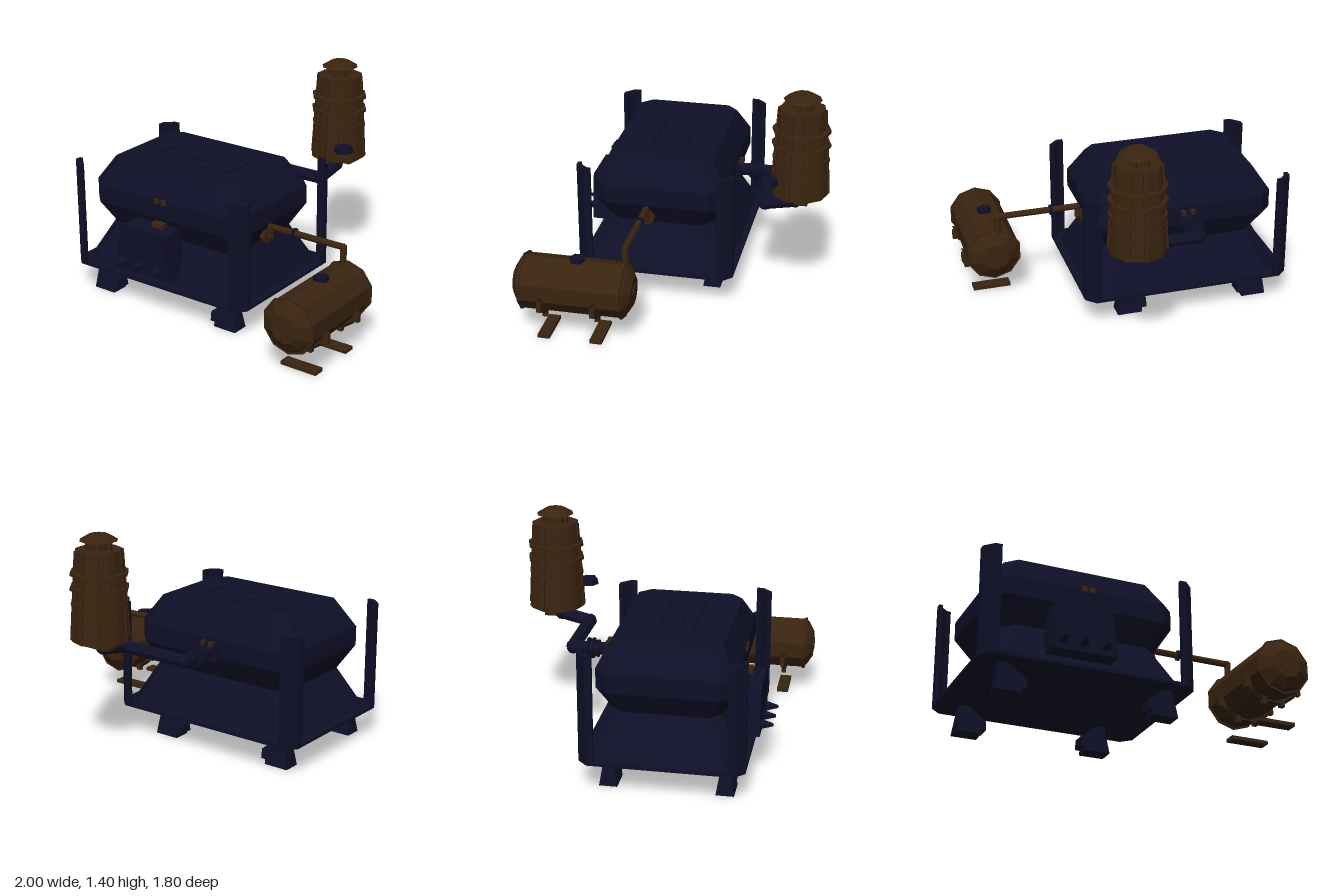
import * as THREE from 'three';

export function createModel() {
  const root = new THREE.Group();
  const navy = new THREE.MeshStandardMaterial({ color: 0x0f0f28 });
  navy.name = 'dark navy iron';
  const brown = new THREE.MeshStandardMaterial({ color: 0x3a2410 });
  brown.name = 'dark bronze';

  // faceted mesh helper
  function add(name, geo, mat, x = 0, y = 0, z = 0, parent = root) {
    const g = geo.index ? geo.toNonIndexed() : geo;
    g.computeVertexNormals();
    const m = new THREE.Mesh(g, mat);
    m.name = name;
    m.position.set(x, y, z);
    parent.add(m);
    return m;
  }
  const box = (name, mat, w, h, d, x, y, z, parent) =>
    add(name, new THREE.BoxGeometry(w, h, d), mat, x, y, z, parent);
  const cyl = (name, mat, r1, r2, h, n, x, y, z, parent) =>
    add(name, new THREE.CylinderGeometry(r1, r2, h, n), mat, x, y, z, parent);
  const lathe = (pts, n) => new THREE.LatheGeometry(pts.map(p => new THREE.Vector2(...p)), n);

  // stack of chamfered rectangles, each [y, halfX, halfZ, chamfer]
  function loft(rings) {
    const pos = [], idx = [], n = 8;
    for (const [y, a, b, c] of rings) {
      const ring = [[a, c - b], [a, b - c], [a - c, b], [c - a, b], [-a, b - c], [-a, c - b], [c - a, -b], [a - c, -b]];
      for (const [x, z] of ring) pos.push(x, y, z);
    }
    const last = (rings.length - 1) * n;
    const low = pos.length / 3, high = low + 1;
    pos.push(0, rings[0][0], 0, 0, rings[rings.length - 1][0], 0);
    for (let i = 0; i < n; i++) {
      const j = (i + 1) % n;
      for (let k = 0; k < last; k += n) idx.push(k + i, k + n + i, k + j, k + j, k + n + i, k + n + j);
      idx.push(low, i, j, high, last + j, last + i);
    }
    const g = new THREE.BufferGeometry();
    g.setAttribute('position', new THREE.Float32BufferAttribute(pos, 3));
    g.setIndex(idx);
    return g;
  }

  // straight pipe runs with faceted elbows
  function pipe(name, mat, pts, r) {
    const grp = new THREE.Group();
    grp.name = name;
    root.add(grp);
    const v = pts.map(p => new THREE.Vector3(...p));
    for (let i = 0; i < v.length - 1; i++) {
      const d = v[i + 1].clone().sub(v[i]);
      const m = cyl('pipeRun', mat, r, r, d.length(), 8, 0, 0, 0, grp);
      m.position.copy(v[i]).addScaledVector(d, 0.5);
      m.quaternion.setFromUnitVectors(new THREE.Vector3(0, 1, 0), d.normalize());
      if (i) add('elbow', new THREE.SphereGeometry(r * 1.05, 8, 6), mat, ...pts[i], grp);
    }
  }

  // furnace body
  const CX = -0.33, CZ = 0.155;
  add('basePlate', loft([[0.18, 0.67, 0.495, 0.08], [0.2, 0.67, 0.495, 0.08]]), navy, CX, 0, CZ);
  add('lowerBody', loft([[0.2, 0.625, 0.455, 0.08], [0.46, 0.49, 0.33, 0.07]]), navy, CX, 0, CZ);
  add('upperBody', loft([[0.46, 0.49, 0.33, 0.07], [0.61, 0.58, 0.41, 0.08],
    [0.73, 0.58, 0.41, 0.08], [0.885, 0.48, 0.33, 0.07]]), navy, CX, 0, CZ);

  // framed lid on the roof
  for (const s of [-1, 1]) {
    box('lidFrameLong', navy, 0.6, 0.02, 0.03, CX, 0.885, CZ + s * 0.105);
    box('lidFrameShort', navy, 0.03, 0.02, 0.24, CX + s * 0.285, 0.885, CZ);
  }
  box('lidHandle', navy, 0.13, 0.015, 0.06, CX, 0.89, CZ);

  // angle-iron corner posts
  const post = new THREE.Shape([[0, 0.1], [0, 0.06], [0.06, 0], [0.1, 0], [0.1, 0.025], [0.07, 0.03], [0.03, 0.07], [0.025, 0.1]]
    .map(p => new THREE.Vector2(...p)));
  for (const sx of [-1, 1]) for (const sz of [-1, 1]) {
    const g = new THREE.ExtrudeGeometry(post, { depth: 0.69, bevelEnabled: false });
    g.rotateX(-Math.PI / 2);
    const m = add('cornerPost', g, navy, CX + sx * 0.67, 0.18, CZ + sz * 0.495);
    m.scale.set(-sx, 1, sz);
  }

  // splayed feet with an inward toe
  const foot = new THREE.Shape([[-0.08, 0], [0.08, 0], [0.08, 0.03], [0.11, 0.03], [0.11, 0.09], [0, 0.18], [-0.055, 0.18]]
    .map(p => new THREE.Vector2(...p)));
  for (const [x, z, s] of [[-0.81, 0.525, 1], [-0.81, -0.175, 1], [0.16, 0.525, -1], [0.03, -0.175, -1]]) {
    const g = new THREE.ExtrudeGeometry(foot, { depth: 0.11, bevelEnabled: false });
    g.translate(0, 0, -0.055);
    const p = g.attributes.position;
    for (let i = 0; i < p.count; i++) p.setZ(i, p.getZ(i) * (1 - 2.8 * p.getY(i)));
    add('foot', g, navy, x, 0, z).scale.x = s;
  }

  // front hatch with studs and latches
  const hatch = new THREE.Shape([[-0.205, 0.26], [0.205, 0.26], [0.17, 0.55], [0.15, 0.565], [-0.15, 0.565], [-0.17, 0.55]]
    .map(p => new THREE.Vector2(...p)));
  add('frontHatch', new THREE.ExtrudeGeometry(hatch, { depth: 0.17, bevelEnabled: false }), navy, -0.395, 0, 0.52);
  for (const x of [-0.54, -0.41, -0.27])
    cyl('hatchStud', navy, 0.01, 0.035, 0.08, 6, x, 0.32, 0.725).rotation.x = Math.PI / 2;
  for (const x of [-0.355, -0.305]) box('frontLatch', brown, 0.035, 0.035, 0.03, x, 0.728, 0.565);
  box('latchPlate', navy, 0.11, 0.06, 0.02, -0.33, 0.725, 0.56);
  box('hatchClasp', brown, 0.08, 0.03, 0.05, -0.33, 0.58, 0.59);
  box('sideLatch', navy, 0.02, 0.07, 0.08, 0.255, 0.7, 0.155);

  // fuel pipe from the side to the tank
  pipe('fuelPipe', brown, [[0.15, 0.52, 0.22], [0.25, 0.52, 0.22], [0.25, 0.585, 0.22], [0.78, 0.585, 0.22], [0.78, 0.44, 0.22]], 0.021);
  cyl('pipeCollar', navy, 0.035, 0.035, 0.015, 8, 0.43, 0.585, 0.22).rotation.z = Math.PI / 2;
  cyl('pipeFlange', brown, 0.05, 0.05, 0.03, 8, 0.22, 0.52, 0.22).rotation.z = Math.PI / 2;

  // horizontal tank
  const tank = new THREE.Group();
  tank.name = 'fuelTank';
  tank.position.set(0.81, 0.325, 0.525);
  root.add(tank);
  add('tankShell', lathe([[0, -0.365], [0.09, -0.365], [0.15, -0.33], [0.165, -0.315], [0.178, -0.315], [0.178, -0.3],
    [0.17, -0.3], [0.17, 0.3], [0.178, 0.3], [0.178, 0.315], [0.165, 0.315], [0.15, 0.33], [0.09, 0.365], [0, 0.365]], 10),
  brown, 0, 0, 0, tank).rotation.x = Math.PI / 2;
  for (const s of [-1, 1])
    cyl('tankEndBoss', brown, 0.045, 0.045, 0.015, 8, 0, 0, s * 0.365, tank).rotation.x = Math.PI / 2;
  for (const z of [0.175, -0.15]) {
    add('tankStrap', new THREE.TorusGeometry(0.172, 0.016, 4, 5, Math.PI), brown, 0, -0.015, z, tank).rotation.z = Math.PI;
    for (const s of [-1, 1]) {
      box('strapLug', brown, 0.03, 0.06, 0.03, s * 0.172, -0.08, z, tank);
      box('strapFoot', brown, 0.03, 0.05, 0.03, s * 0.06, -0.175, z, tank);
    }
    box('floorBar', brown, 0.245, 0.022, 0.075, 0, -0.314, z, tank);
  }
  cyl('tankCap', navy, 0.048, 0.048, 0.025, 6, 0, 0.175, -0.02, tank);

  // exhaust pipe behind the body
  pipe('exhaustPipe', navy, [[-0.33, 0.65, -0.18], [-0.33, 0.65, -0.51], [0.13, 0.65, -0.51], [0.14, 0.69, -0.7], [0.14, 0.78, -0.73]], 0.042);
  for (const [z, r] of [[-0.35, 0.055], [-0.38, 0.065], [-0.41, 0.065]])
    cyl('exhaustFlange', navy, r, r, 0.014, 10, -0.33, 0.65, z).rotation.x = Math.PI / 2;
  box('exhaustMount', navy, 0.13, 0.11, 0.04, -0.33, 0.65, -0.265);
  for (const s of [-1, 1]) box('mountClip', brown, 0.025, 0.03, 0.03, CX + s * 0.03, 0.7, -0.28);

  // tapered smoke tower
  const tower = new THREE.Group();
  tower.name = 'smokeTower';
  tower.position.set(0.135, 0, -0.725);
  root.add(tower);
  add('towerShell', lathe([[0, 0.75], [0.175, 0.75], [0.14, 1.305], [0.09, 1.305], [0, 1.305]], 10), brown, 0, 0, 0, tower);
  for (const [y, r] of [[0.88, 0.176], [0.98, 0.176], [1.075, 0.18], [1.165, 0.178]])
    cyl('towerBand', brown, r, r, 0.02, 10, 0, y, 0, tower);
  for (let i = 0; i < 10; i++) {
    const pivot = new THREE.Group();
    pivot.name = 'towerRib';
    pivot.rotation.y = i * Math.PI / 5;
    tower.add(pivot);
    box('rib', brown, 0.025, 0.54, 0.015, 0, 1.03, 0.158, pivot).rotation.x = -0.063;
    if (i % 2 === 0) box('capPillar', brown, 0.03, 0.07, 0.02, 0, 1.335, 0.07, pivot);
  }
  cyl('towerNeck', brown, 0.055, 0.055, 0.045, 10, 0, 1.325, 0, tower);
  cyl('towerCap', brown, 0.06, 0.117, 0.035, 10, 0, 1.378, 0, tower);
  box('towerFloorBar', brown, 0.2, 0.018, 0.08, 0, 0.712, -0.02, tower);

  // damper valve beside the tower
  cyl('valveWheel', navy, 0.055, 0.065, 0.04, 6, 0.285, 0.87, -0.55);
  pipe('valveStem', brown, [[0.285, 0.87, -0.55], [0.2, 0.82, -0.63]], 0.015);

  return root;
}
